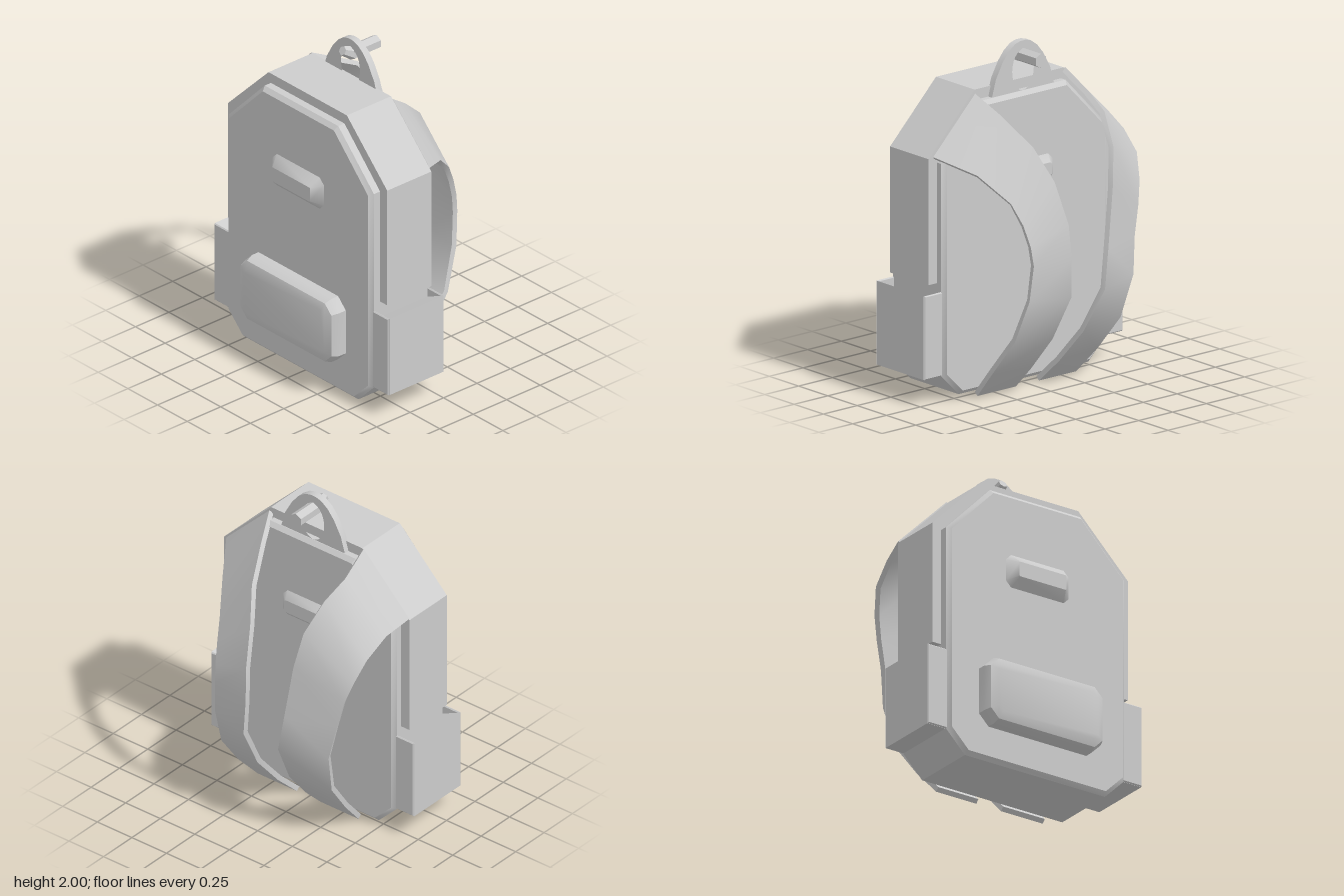
import * as THREE from 'three';
import { toCreasedNormals } from 'three/addons/utils/BufferGeometryUtils.js';

export function createModel() {
  const group = new THREE.Group();
  const grey = new THREE.MeshStandardMaterial({ color: 0xcccccc });
  grey.name = 'light grey';

  function add(name, geometry) {
    const mesh = new THREE.Mesh(geometry, grey);
    mesh.name = name;
    group.add(mesh);
  }

  // Side-on outline of [z, y] points, extruded from x0 to x1 with bevelled rims
  function slab(name, points, x0, x1, bevel, segments = 1, hole = null) {
    const shape = new THREE.Shape(points.map(([z, y]) => new THREE.Vector2(-z, y)));
    if (hole) shape.holes.push(hole);
    const geo = new THREE.ExtrudeGeometry(shape, {
      depth: x1 - x0 - 2 * bevel,
      bevelEnabled: bevel > 0,
      bevelThickness: bevel,
      bevelSize: bevel,
      bevelOffset: -bevel,
      bevelSegments: segments,
      curveSegments: 12,
    });
    geo.translate(0, 0, x0 + bevel);
    geo.rotateY(Math.PI / 2);
    add(name, toCreasedNormals(geo, 0.55));
  }

  // Right half of an outline, bottom to top, completed by mirroring in z
  const mirrored = (half) => [...half, ...half.map(([z, y]) => [-z, y]).reverse()];
  const cutRect = (w, y0, y1, c) =>
    mirrored([[w - c, y0], [w, y0 + c], [w, y1 - c], [w - c, y1]]);

  // Main bag and the wider hood around its upper part
  slab('body', mirrored([[0.48, 0.03], [0.61, 0.16], [0.61, 1.4], [0.31, 1.71]]), -0.42, 0.04, 0.024);
  slab('upperShell', mirrored([[0.67, 0.695], [0.67, 1.43], [0.33, 1.77]]), -0.35, -0.02, 0);

  // Pouch, and a bar on each face
  slab('frontPouch', cutRect(0.4, 0.235, 0.64, 0.065), -0.53, -0.33, 0.06, 2);
  slab('frontBar', cutRect(0.215, 1.135, 1.335, 0.035), -0.475, -0.3, 0.055);
  slab('rearBar', cutRect(0.195, 1.155, 1.315, 0.035), -0.1, 0.08, 0.04);

  // Side pockets: a filling that slopes in towards the bag, between two full-height cheeks
  for (const s of [1, -1]) {
    const name = s > 0 ? 'leftPocket' : 'rightPocket';
    const outline = (innerTop) =>
      [[0.56, 0.16], [0.733, 0.16], [0.733, 0.65], [0.56, innerTop]].map(([z, y]) => [s * z, y]);
    slab(name, outline(0.57), -0.39, 0.01, 0);
    slab(name + 'FrontCheek', outline(0.65), -0.4, -0.386, 0.006);
    slab(name + 'RearCheek', outline(0.65), 0.006, 0.02, 0.006);
  }

  // Carrying loop
  const eye = new THREE.Path();
  eye.absellipse(0, 1.83, 0.08, 0.12, 0, Math.PI * 2, true);
  slab('carryLoop', mirrored([[0.235, 1.69], [0.2, 1.81], [0.15, 1.9], [0.105, 1.955], [0.06, 1.988], [0.02, 2]]),
    -0.03, 0.012, 0, 1, eye);

  // Six-sided toggle through the loop, with a bent tapering tail
  function peg(name, rTop, rBottom, length, tilt, x, y) {
    const geo = new THREE.CylinderGeometry(rTop, rBottom, length, 6);
    geo.rotateY(Math.PI / 6);
    geo.rotateZ(tilt);
    geo.translate(x, y, 0);
    add(name, toCreasedNormals(geo, 0.5));
  }
  peg('togglePin', 0.042, 0.042, 0.195, Math.PI / 2, 0.067, 1.915);
  peg('toggleTail', 0.027, 0.042, 0.09, 1.08, -0.05, 1.928);

  // Ribbon lofted between its two edges, thickened towards the bag
  function strap(name, inner, outer, side) {
    const thickness = 0.03;
    const a = inner.map((p) => new THREE.Vector3(...p));
    const b = outer.map((p) => new THREE.Vector3(...p));
    const pos = [];
    const index = [];
    const n = a.length;
    for (let i = 0; i < n; i++) {
      const j = Math.max(i - 1, 0);
      const k = Math.min(i + 1, n - 1);
      const along = a[k].clone().add(b[k]).sub(a[j]).sub(b[j]);
      const across = b[i].clone().sub(a[i]);
      const inward = along.cross(across).normalize().multiplyScalar(-side * thickness);
      const corners = [a[i], b[i], b[i].clone().add(inward), a[i].clone().add(inward)];
      corners.forEach((c) => pos.push(c.x, c.y, c.z));
    }
    const tri = (p, q, r) => (side > 0 ? index.push(p, q, r) : index.push(p, r, q));
    const quad = (p, q, r, s) => { tri(p, q, r); tri(p, r, s); };
    for (let i = 0; i < n - 1; i++) {
      for (let c = 0; c < 4; c++) {
        const d = (c + 1) % 4;
        quad(i * 4 + c, i * 4 + 4 + c, i * 4 + 4 + d, i * 4 + d);
      }
    }
    quad(0, 1, 2, 3);
    const e = (n - 1) * 4;
    quad(e + 3, e + 2, e + 1, e);
    const geo = new THREE.BufferGeometry();
    geo.setAttribute('position', new THREE.Float32BufferAttribute(pos, 3));
    geo.setIndex(index);
    add(name, toCreasedNormals(geo, 0.7));
  }

  strap('leftStrap',
    [[-0.01, 1.75, 0.335], [0.14, 1.64, 0.27], [0.32, 1.48, 0.19], [0.42, 1.29, 0.12], [0.5, 1.05, 0.085],
      [0.515, 0.85, 0.075], [0.522, 0.63, 0.085], [0.38, 0.36, 0.1], [0.2, 0.15, 0.1], [0.05, 0.005, 0.085]],
    [[-0.01, 1.44, 0.645], [0.2, 1.35, 0.5], [0.36, 1.2, 0.39], [0.425, 1.08, 0.355], [0.465, 0.96, 0.335],
      [0.48, 0.85, 0.325], [0.46, 0.64, 0.34], [0.37, 0.39, 0.37], [0.2, 0.17, 0.39], [0.05, 0.005, 0.37]], -1);

  strap('rightStrap',
    [[-0.02, 1.77, -0.34], [0.16, 1.67, -0.355], [0.32, 1.59, -0.335], [0.45, 1.42, -0.29], [0.49, 1.2, -0.25],
      [0.51, 0.86, -0.2], [0.522, 0.63, -0.165], [0.38, 0.36, -0.13], [0.2, 0.15, -0.105], [0.05, 0.005, -0.085]],
    [[-0.02, 1.44, -0.67], [0.14, 1.39, -0.635], [0.28, 1.29, -0.61], [0.35, 1.15, -0.57], [0.385, 1.02, -0.53],
      [0.4, 0.85, -0.49], [0.43, 0.64, -0.455], [0.36, 0.38, -0.42], [0.2, 0.17, -0.39], [0.05, 0.005, -0.36]], 1);

  return group;
}
